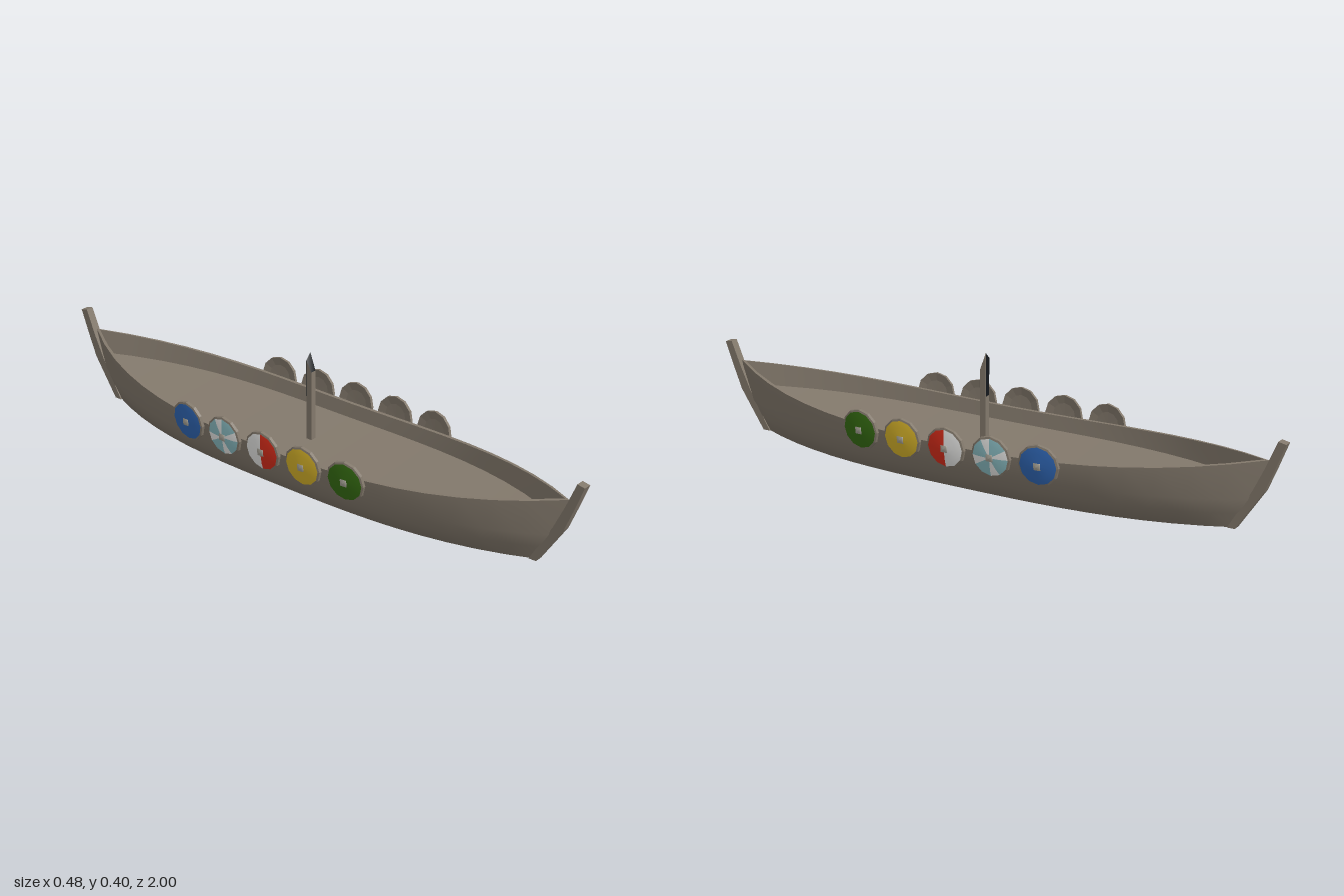
import * as THREE from 'three';

const paint = (name, color, side = THREE.FrontSide) => {
  const m = new THREE.MeshStandardMaterial({ color, side });
  m.name = name;
  return m;
};

// Grid surface through rows of [x, y, z] points
function loft(rows) {
  const n = rows[0].length, index = [];
  for (let i = 0; i < rows.length - 1; i++)
    for (let j = 0; j < n - 1; j++) {
      const a = i * n + j, b = a + n;
      index.push(a, b, a + 1, b, b + 1, a + 1);
    }
  const g = new THREE.BufferGeometry();
  g.setAttribute('position', new THREE.Float32BufferAttribute(rows.flat(2), 3));
  g.setIndex(index);
  g.computeVertexNormals();
  return g;
}

// Hull rules along t = -1 (stern) to 1 (bow)
const fullness = t => 1 - Math.abs(t) ** 3;
const sheer = t => 0.16 + 0.065 * t * t;
const stations = Array.from({ length: 21 }, (_, i) => i / 10 - 1);
// A point at half width w, with the level ending at z = end
const at = (t, w, y, end) => [w * fullness(t), y, t * end];

export function createModel() {
  const wood = paint('weathered wood', 0x83796c, THREE.DoubleSide);
  const charred = paint('charred wood', 0x14181c, THREE.DoubleSide);
  const metal = paint('boss metal', 0xa6a296);
  const green = paint('green', 0x356c12);
  const yellow = paint('yellow', 0xd8b42a);
  const red = paint('red', 0xd92d1a);
  const white = paint('white', 0xeeeeec);
  const paleBlue = paint('pale blue', 0x8abcc2);
  const blue = paint('blue', 0x2f66b4);

  const model = new THREE.Group();
  model.name = 'longship';
  const add = (parent, name, geometry, material) => {
    const mesh = new THREE.Mesh(geometry, material);
    mesh.name = name;
    parent.add(mesh);
    return mesh;
  };

  // Outer hull skin: [half width, height, end z] for each level
  add(model, 'hull', loft(stations.map(t => {
    const side = [[0.212, sheer(t), 0.945], [0.207, 0.1, 0.915], [0.173, 0.05, 0.885], [0.137, 0, 0.85]]
      .map(([w, y, e]) => at(t, w, y, e));
    return [...side, [0, 0, t * 0.85], ...side.map(([x, y, z]) => [-x, y, z]).reverse()];
  })), wood);

  // Gunwale, inner wall and deck
  const deckY = t => 0.115 + 0.03 * t * t;
  for (const s of [1, -1]) {
    const outer = t => at(t, s * 0.212, sheer(t), 0.945);
    const inner = t => at(t, s * 0.2, sheer(t), 0.93);
    const foot = t => at(t, s * 0.192, deckY(t), 0.92);
    add(model, 'gunwale', loft(stations.map(t => [outer(t), inner(t)])), wood);
    add(model, 'innerWall', loft(stations.map(t => [inner(t), foot(t)])), wood);
  }
  add(model, 'deck', loft(stations.map(t => [
    at(t, -0.192, deckY(t), 0.92), at(t, 0.192, deckY(t), 0.92)])), wood);

  // Stem and stern posts
  const profile = [[0.83, 0], [0.855, 0], [0.94, 0.13], [0.968, 0.2], [1, 0.285],
    [0.975, 0.29], [0.94, 0.205], [0.905, 0.13]];
  const postGeometry = new THREE.ExtrudeGeometry(
    new THREE.Shape(profile.map(p => new THREE.Vector2(...p))), { depth: 0.027, bevelEnabled: false });
  postGeometry.translate(0, 0, -0.0135);
  add(model, 'bowPost', postGeometry, wood).rotation.y = -Math.PI / 2;
  add(model, 'sternPost', postGeometry, wood).rotation.y = Math.PI / 2;

  // Broken mast: box whose top corners are cut at a slant
  const topY = (x, z) => (z > 0 ? 0.345 : x > 0 ? 0.4 : 0.38);
  const mast = new THREE.BoxGeometry(0.02, 1, 0.02);
  const p = mast.attributes.position;
  for (let i = 0; i < p.count; i++)
    p.setY(i, p.getY(i) > 0 ? topY(p.getX(i), p.getZ(i)) : 0.1);
  mast.computeVertexNormals();
  add(model, 'mast', mast, [wood, wood, charred, wood, wood, wood]);
  add(model, 'charredMastBack', loft([
    [[-0.01, 0.26, -0.0105], [-0.01, 0.38, -0.0105]],
    [[0.01, 0.26, -0.0105], [0.01, 0.4, -0.0105]]]), charred);

  // Shields: wooden dish, painted dome wedges and a boss, facing +x
  const lathe = (points, segments, start = 0, length = Math.PI * 2) =>
    new THREE.LatheGeometry(points.map(q => new THREE.Vector2(...q)), segments, start, length)
      .rotateZ(-Math.PI / 2);
  const makeShield = (name, wedges, turn) => {
    const g = new THREE.Group();
    g.name = name;
    const dish = lathe([[0, 0.003], [0.04, 0.002], [0.066, -0.003], [0.066, 0.007], [0.06, 0.009]], 12)
      .toNonIndexed();
    dish.computeVertexNormals();
    add(g, 'shieldRim', dish, wood);
    const step = Math.PI * 2 / wedges.length;
    wedges.forEach((material, i) => add(g, 'shieldPaint',
      lathe([[0.061, 0.0085], [0.04, 0.013], [0, 0.016]], 12 / wedges.length,
        turn - Math.PI / 2 + i * step, step), material));
    add(g, 'shieldBoss', lathe([[0.017, 0.013], [0.014, 0.018], [0, 0.02]], 4, Math.PI / 4), metal);
    return g;
  };

  const spokes = Array.from({ length: 12 }, (_, i) => (i % 3 ? paleBlue : white));
  const designs = [['green', [green]], ['yellow', [yellow]], ['redWhite', [red, white]],
    ['paleBlue', spokes], ['blue', [blue]]];
  designs.forEach(([name, wedges], i) => {
    const z = 0.315 - i * 0.1575;
    const t = z / 0.945;
    const yaw = -Math.sign(z) * Math.atan(3 * t * t * 0.212 / 0.945);
    for (const s of [1, -1]) {
      const shield = makeShield(name + 'Shield', wedges, s > 0 ? 0 : Math.PI);
      shield.position.set(s * (0.212 * fullness(t) + 0.01), 0.158, z);
      shield.rotation.set(0, s > 0 ? yaw : Math.PI - yaw, -0.09, 'YXZ');
      model.add(shield);
    }
  });

  return model;
}
